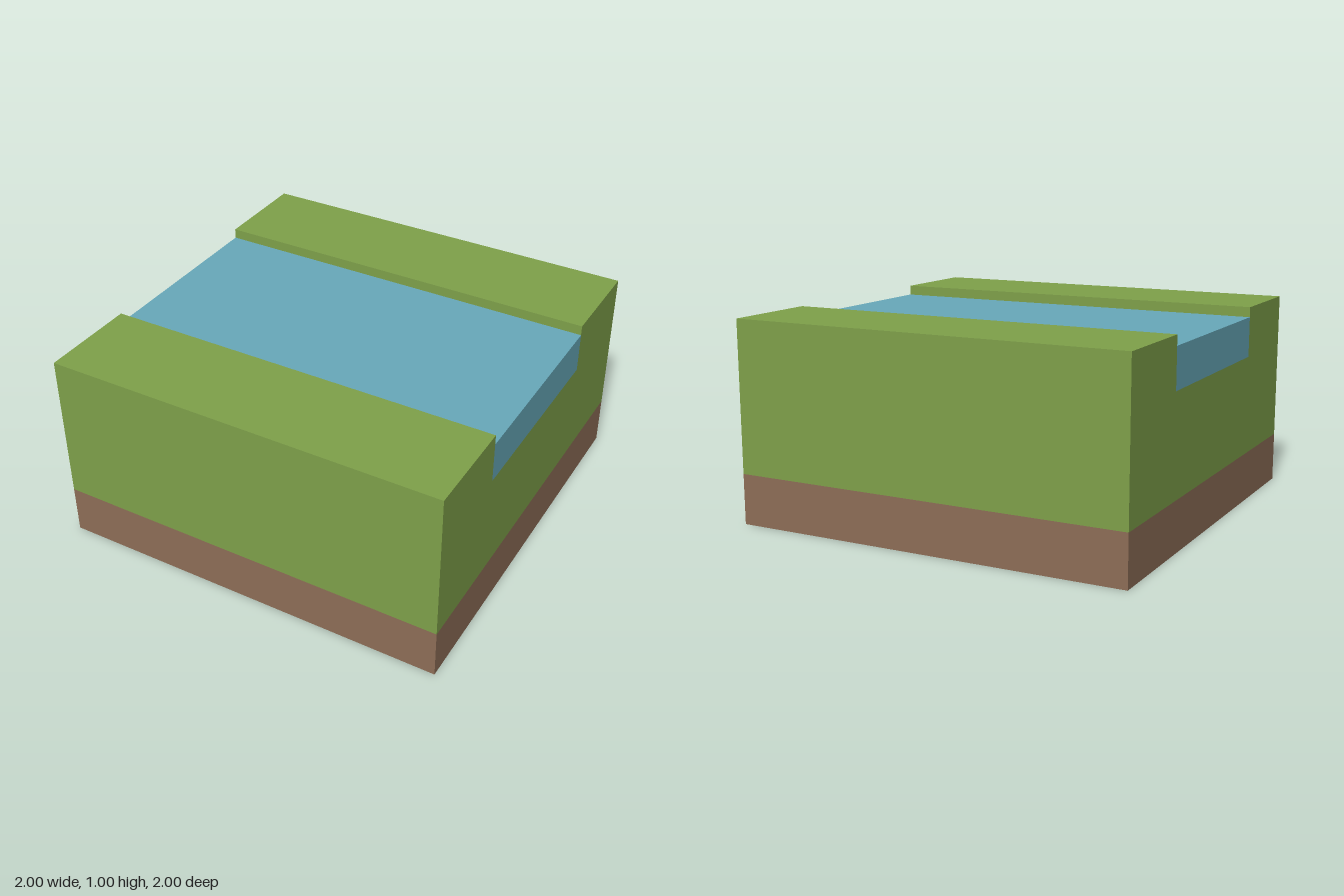
import * as THREE from 'three';

export function createModel() {
  const mat = (name, color) => {
    const m = new THREE.MeshStandardMaterial({ color, side: THREE.DoubleSide });
    m.name = name;
    return m;
  };
  const grass = mat('grass green', 0x7fa14a);
  const soil = mat('soil brown', 0x8e6e57);
  const water = mat('water blue', 0x68a9ba);

  const model = new THREE.Group();
  model.name = 'riverTile';

  const add = (name, geometry, material) => {
    const mesh = new THREE.Mesh(geometry, material);
    mesh.name = name;
    model.add(mesh);
  };
  // Upright panel facing +z (s = 1) or -z (s = -1), spanning the full width
  const wall = (y0, y1, z, s) =>
    new THREE.PlaneGeometry(2, y1 - y0).rotateY(s > 0 ? 0 : Math.PI).translate(0, (y0 + y1) / 2, z);
  // Level panel facing up, spanning the full width
  const level = (depth, y, z) => new THREE.PlaneGeometry(2, depth).rotateX(-Math.PI / 2).translate(0, y, z);
  // Flat end outline placed at x = s, facing outwards
  const end = (points, s) =>
    new THREE.ShapeGeometry(new THREE.Shape(points.map(([a, b]) => new THREE.Vector2(a, b))))
      .rotateY(s * Math.PI / 2).translate(s, 0, 0);

  const soilEnd = [[-1, 0], [1, 0], [1, 0.25], [-1, 0.25]];
  const grassEnd = [[-1, 0.25], [1, 0.25], [1, 1], [0.5, 1], [0.5, 0.75], [-0.5, 0.75], [-0.5, 1], [-1, 1]];
  const waterEnd = [[-0.5, 0.75], [0.5, 0.75], [0.5, 0.95], [-0.5, 0.95]];

  for (const s of [1, -1]) {
    const side = s > 0 ? 'front' : 'back';
    const tip = s > 0 ? 'left' : 'right';
    // Outer walls and banks, hollow and open below
    add(side + 'SoilWall', wall(0, 0.25, s, s), soil);
    add(side + 'GrassWall', wall(0.25, 1, s, s), grass);
    add(side + 'BankTop', level(0.5, 1, s * 0.75), grass);
    add(side + 'BankEdge', wall(0.95, 1, s * 0.5, -s), grass);
    // End walls with the channel cut-out filled by water
    add(tip + 'SoilEnd', end(soilEnd, s), soil);
    add(tip + 'GrassEnd', end(grassEnd, s), grass);
    add(tip + 'WaterEnd', end(waterEnd, s), water);
  }
  // River surface
  add('waterSurface', level(1, 0.95, 0), water);

  return model;
}
